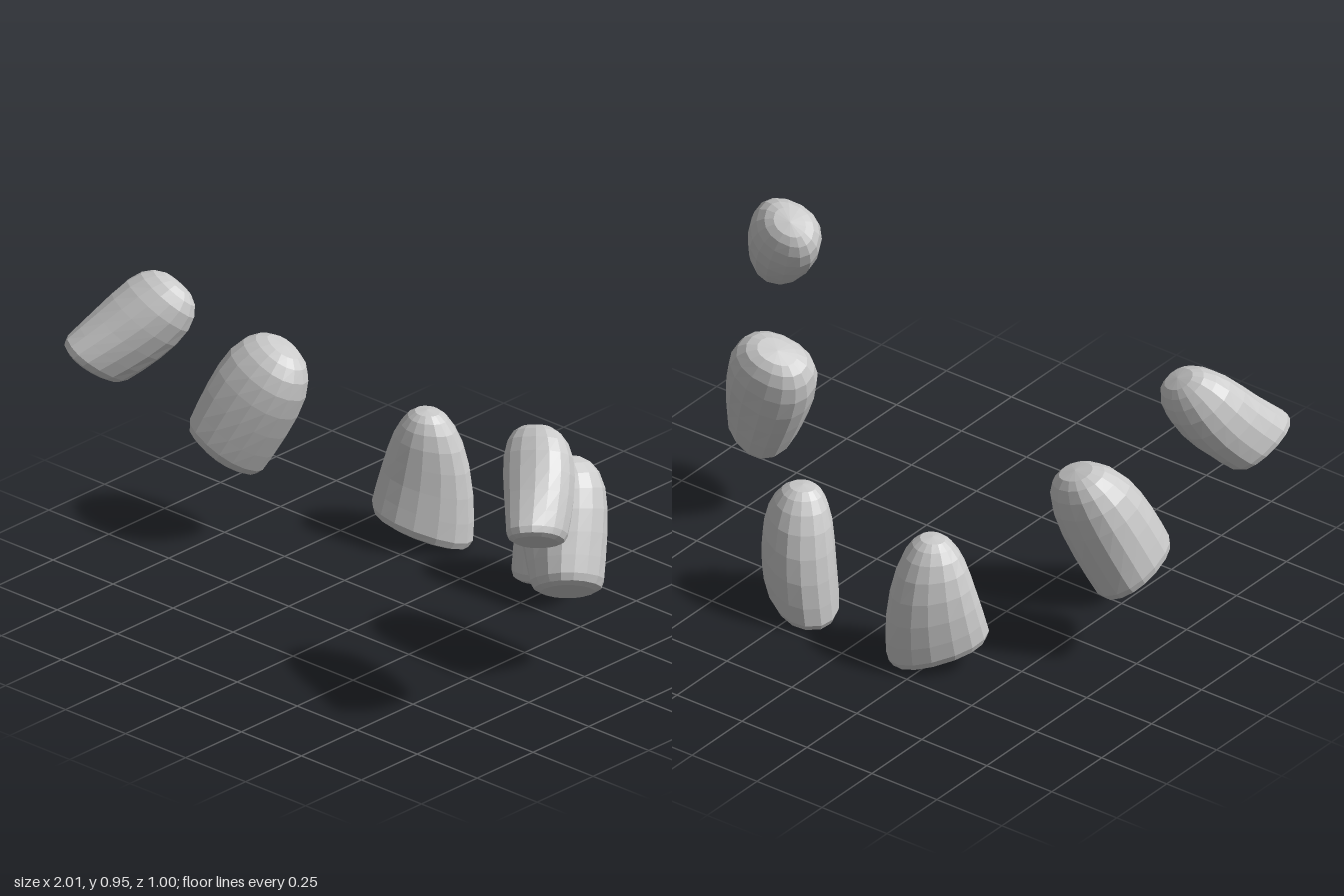
import * as THREE from 'three';

const SIDES = 16;

// Fullness along the length: [position from base to tip, scale]
const PROFILE = [
  [0, 0.74], [0.025, 0.92], [0.08, 1.01], [0.22, 1.05], [0.4, 1.08],
  [0.58, 1.08], [0.74, 1.02], [0.86, 0.88], [0.94, 0.68], [0.985, 0.44],
];

// Each peg: end centres, half-axes of its oval section at the base (u0, v0)
// and at the tip (u1, v1), and a sideways bow at mid length.
const PEGS = [
  {
    name: 'innerPeg', base: [0.263, 0.052, -0.355], tip: [0.25, 0.46, -0.37],
    u0: [0.125, 0.056, 0.1], v0: [0.08, 0, -0.075],
    u1: [0.065, 0, 0.055], v1: [0.065, 0, -0.06], bow: [0, 0, -0.02],
  },
  {
    name: 'middlePeg', base: [0.722, 0.305, 0.045], tip: [0.572, 0.675, -0.078],
    u0: [0.102, 0.055, 0], v0: [0, -0.06, -0.115],
    u1: [0.138, 0.04, -0.03], v1: [-0.01, -0.03, -0.1], bow: [0, 0, 0],
  },
  {
    name: 'outerPeg', base: [0.93, 0.667, 0.41], tip: [0.745, 0.93, 0.21],
    u0: [0.037, 0.07, 0.092], v0: [0.073, 0.015, -0.045],
    u1: [0.025, 0.06, 0.07], v1: [0.115, 0.03, -0.03], bow: [0, -0.012, -0.012],
  },
];

// Slightly squared oval
const squared = (c) => Math.sign(c) * Math.abs(c) ** 0.9;

// Lofts oval sections from the base to the rounded tip; side -1 mirrors in x
function pegGeometry(peg, side) {
  const vec = (a) => new THREE.Vector3(a[0] * side, a[1], a[2]);
  const base = vec(peg.base), tip = vec(peg.tip), bow = vec(peg.bow);
  const u0 = vec(peg.u0), u1 = vec(peg.u1), v0 = vec(peg.v0), v1 = vec(peg.v1);
  const positions = [], index = [];

  for (const [t, s] of PROFILE) {
    const centre = base.clone().lerp(tip, t).addScaledVector(bow, Math.sin(Math.PI * t));
    const u = u0.clone().lerp(u1, t), v = v0.clone().lerp(v1, t);
    for (let j = 0; j < SIDES; j++) {
      const a = ((j + 0.5) / SIDES) * Math.PI * 2 * side;
      const p = centre.clone()
        .addScaledVector(u, s * squared(Math.cos(a)))
        .addScaledVector(v, s * squared(Math.sin(a)));
      positions.push(p.x, p.y, p.z);
    }
  }
  const rings = PROFILE.length;
  const baseCentre = rings * SIDES, apex = baseCentre + 1;
  positions.push(base.x, base.y, base.z, tip.x, tip.y, tip.z);

  for (let j = 0; j < SIDES; j++) {
    const k = (j + 1) % SIDES;
    for (let i = 0; i < rings - 1; i++) {
      const a = i * SIDES + j, b = i * SIDES + k;
      index.push(a, b, b + SIDES, a, b + SIDES, a + SIDES);
    }
    const last = (rings - 1) * SIDES;
    index.push(baseCentre, k, j, last + j, last + k, apex);
  }

  const geometry = new THREE.BufferGeometry();
  geometry.setAttribute('position', new THREE.Float32BufferAttribute(positions, 3));
  geometry.setIndex(index);
  geometry.computeVertexNormals();
  return geometry;
}

export function createModel() {
  const model = new THREE.Group();
  model.name = 'pegArch';
  const material = new THREE.MeshStandardMaterial({ color: 0xcccccc, flatShading: true });

  // Three pegs on each side of the arch
  for (const side of [1, -1]) {
    for (const peg of PEGS) {
      const mesh = new THREE.Mesh(pegGeometry(peg, side), material);
      mesh.name = peg.name + (side > 0 ? 'Left' : 'Right');
      model.add(mesh);
    }
  }
  return model;
}
